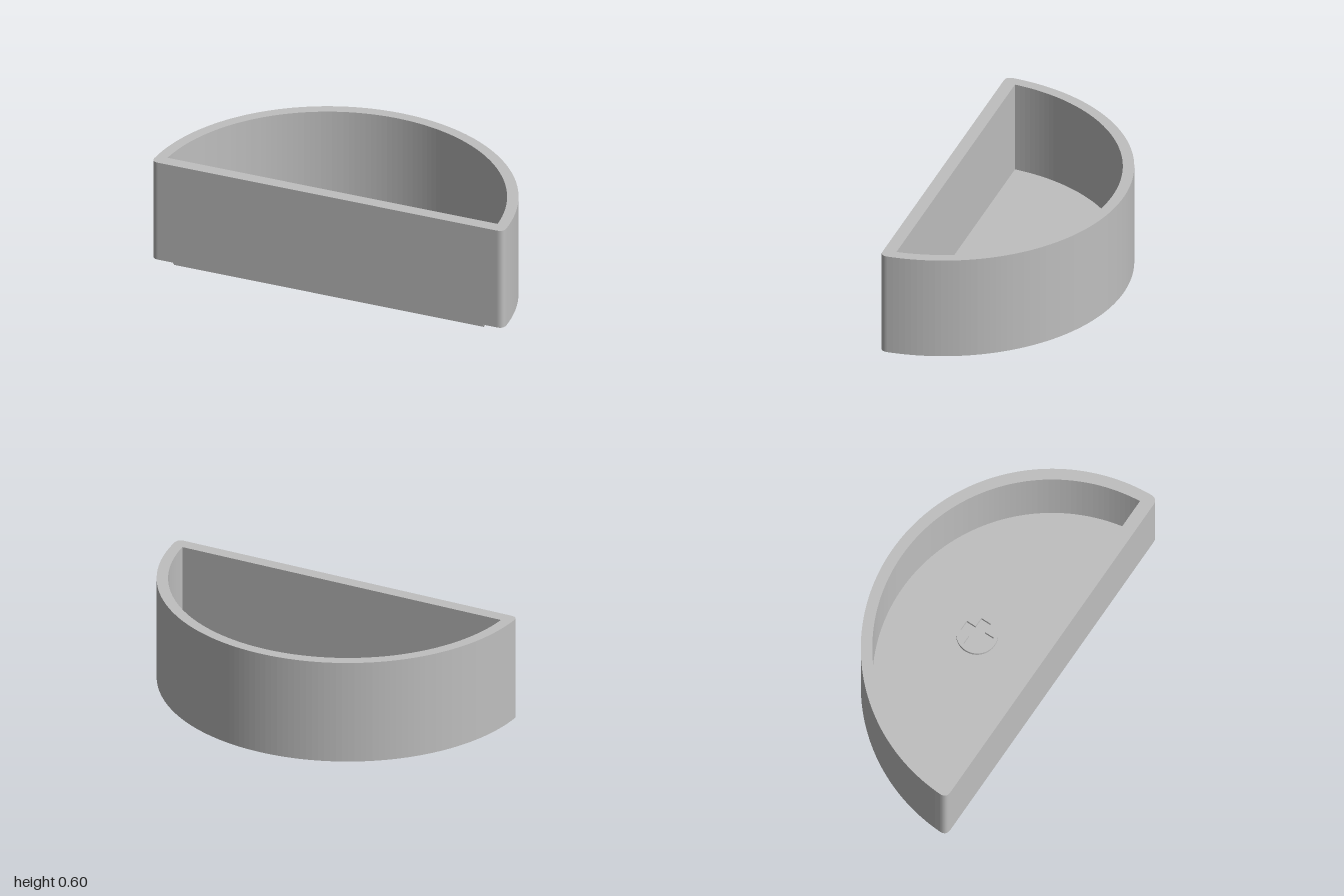
import * as THREE from 'three';

const CY = -0.5; // centre of the half circle, in plan (plan y = -z)

// Extrudes a plan shape upward from y0 to y1
function slab(name, shape, y0, y1, material) {
  const g = new THREE.ExtrudeGeometry(shape, { depth: y1 - y0, bevelEnabled: false, curveSegments: 48 });
  g.rotateX(-Math.PI / 2);
  g.translate(0, y0, 0);
  const mesh = new THREE.Mesh(g, material);
  mesh.name = name;
  return mesh;
}

// Half disc with rounded front corners
function outerShape() {
  const s = new THREE.Shape();
  const a = Math.asin(0.04);
  s.moveTo(-0.96, CY);
  s.lineTo(0.96, CY);
  s.quadraticCurveTo(1, CY, Math.cos(a), CY + 0.04);
  s.absarc(0, CY, 1, a, Math.PI - a, false);
  s.quadraticCurveTo(-1, CY, -0.96, CY);
  return s;
}

// Half disc cavity
function cavityPath() {
  const p = new THREE.Path();
  const a = Math.asin(0.07 / 0.94);
  p.absarc(0, CY, 0.94, a, Math.PI - a, false);
  p.closePath();
  return p;
}

// Point placed along (r) and across (t) a ray from the half circle's centre
function polar(angle, r, t = 0) {
  const c = Math.cos(angle), s = Math.sin(angle);
  return new THREE.Vector2(r * c - t * s, CY + r * s + t * c);
}

// Foot outline with notches in its rim and radial slots inside
function footShape(frontZ) {
  const R = 0.88, w = 0.03, deg = Math.PI / 180;
  const start = Math.asin((0.5 - frontZ) / R);
  const half = Math.asin(w / R);
  const pts = [];
  const arc = (a0, a1) => {
    for (let i = 0; i <= 14; i++) pts.push(polar(a0 + (a1 - a0) * i / 14, R));
  };
  let from = start;
  for (const d of [65.5, 90, 114.5]) {
    const a = d * deg;
    arc(from, a - half);
    for (let i = 0; i <= 8; i++) {
      const k = -Math.PI / 2 + Math.PI * i / 8;
      pts.push(polar(a, 0.82 - w * Math.cos(k), w * Math.sin(k)));
    }
    from = a + half;
  }
  arc(from, Math.PI - start);
  const shape = new THREE.Shape(pts);
  for (const [d, r] of [[9, 0.755], [32, 0.705], [148, 0.705], [171, 0.755]]) {
    const slot = [];
    for (let i = 0; i < 20; i++) {
      const k = i / 20 * Math.PI * 2;
      slot.push(polar(d * deg, r + 0.05 * Math.cos(k), w * Math.sin(k)));
    }
    shape.holes.push(new THREE.Path(slot));
  }
  return shape;
}

// Round boss with a plus-shaped recess
function bossShape() {
  const s = new THREE.Shape();
  s.absarc(0, -0.03, 0.11, 0, Math.PI * 2, false);
  const L = 0.085, w = 0.03, pts = [];
  for (let i = 0; i < 4; i++) {
    const c = Math.cos(i * Math.PI / 2), n = Math.sin(i * Math.PI / 2);
    for (const [x, y] of [[L, -w], [L, w], [w, w]]) {
      pts.push(new THREE.Vector2(x * c - y * n, -0.03 + x * n + y * c));
    }
  }
  s.holes.push(new THREE.Path(pts));
  return s;
}

export function createModel() {
  const model = new THREE.Group();
  model.name = 'halfRoundTray';
  const grey = new THREE.MeshStandardMaterial({ color: 0xbfbfbf });
  grey.name = 'grey';

  // Hollow wall
  const wall = outerShape();
  wall.holes.push(cavityPath());
  model.add(slab('wall', wall, 0.09, 0.6, grey));

  // Solid floor and its centre boss
  model.add(slab('floor', outerShape(), 0.025, 0.09, grey));
  model.add(slab('centreBoss', bossShape(), 0.09, 0.11, grey));

  // Shallow foot, stepped back at the front
  const foot = new THREE.Group();
  foot.name = 'foot';
  [0.478, 0.486, 0.494].forEach((z, i) => {
    foot.add(slab('footLayer', footShape(z), i * 0.025 / 3, (i + 1) * 0.025 / 3, grey));
  });
  model.add(foot);
  return model;
}
